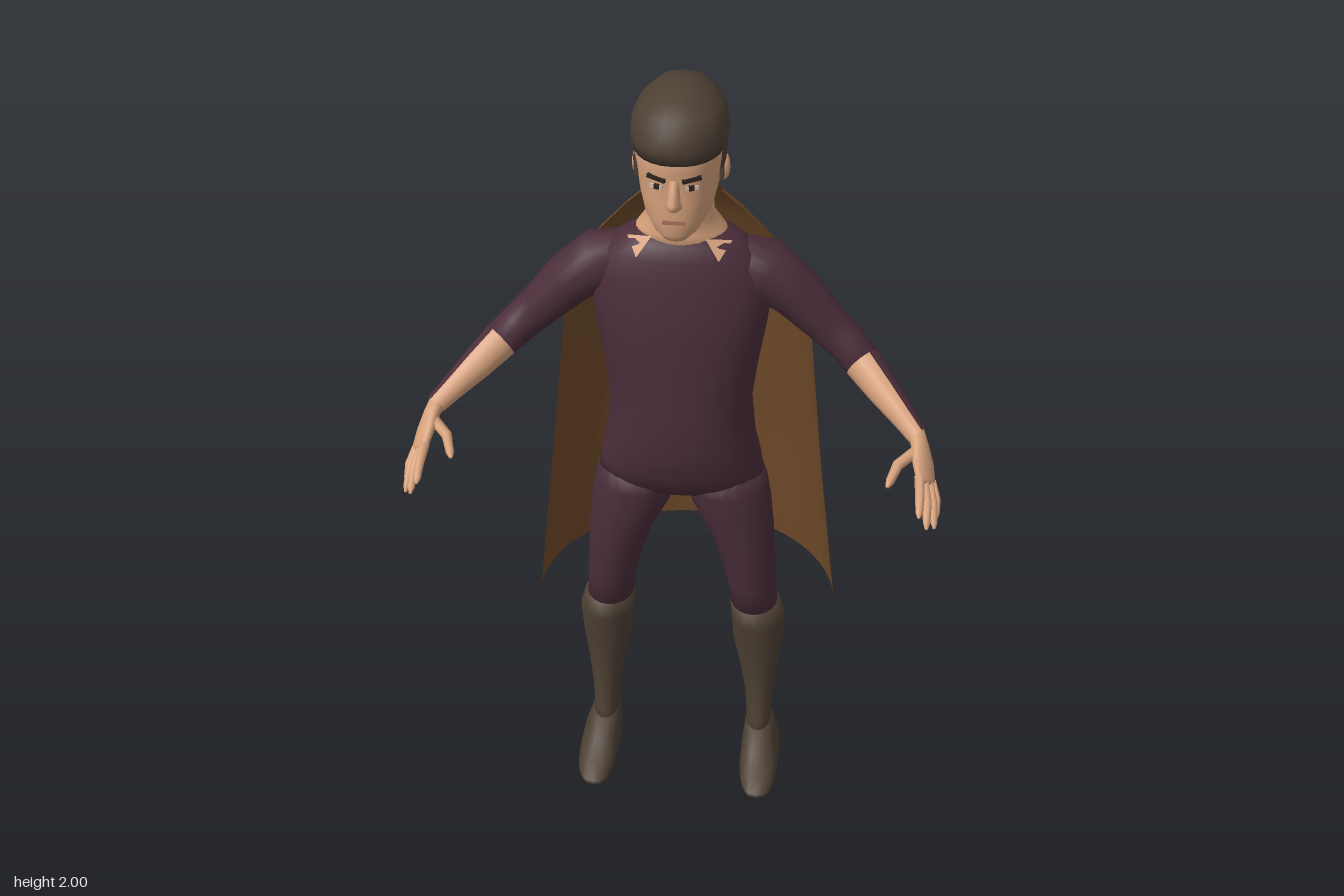
import * as THREE from 'three';

const mat = (name, color, side = THREE.FrontSide) => {
  const m = new THREE.MeshStandardMaterial({ color, side });
  m.name = name;
  return m;
};

const V = (x, y, z) => new THREE.Vector3(x, y, z);
const spow = (v, e) => Math.sign(v) * Math.pow(Math.abs(v), e);

// Skin a list of rings (each a list of points) into one smooth surface.
function loft(rings, { closed = true } = {}) {
  const n = rings[0].length, pos = [], idx = [];
  rings.forEach(r => r.forEach(p => pos.push(p.x, p.y, p.z)));
  for (let i = 0; i < rings.length - 1; i++) {
    for (let j = 0; j < (closed ? n : n - 1); j++) {
      const k = (j + 1) % n, a = i * n + j, b = a + n, c = i * n + k, d = c + n;
      idx.push(a, b, c, b, d, c);
    }
  }
  if (closed) [0, rings.length - 1].forEach(i => {
    const m = rings[i].reduce((s, p) => s.add(p), V(0, 0, 0)).divideScalar(n);
    const at = pos.length / 3;
    pos.push(m.x, m.y, m.z);
    for (let j = 0; j < n; j++) {
      const a = i * n + j, c = i * n + (j + 1) % n;
      if (i === 0) idx.push(at, a, c); else idx.push(at, c, a);
    }
  });
  const g = new THREE.BufferGeometry();
  g.setAttribute('position', new THREE.Float32BufferAttribute(pos, 3));
  g.setIndex(idx);
  g.computeVertexNormals();
  return g;
}

// Level rings from rows [y, centreX, halfWidth, centreZ, frontZ, backZ], listed upward.
function levelRings(rows, { n = 2, sides = 28, t0 = 0, t1 = Math.PI * 2, closed = true } = {}) {
  return rows.map(([y, cx, rx, cz, f, b]) => Array.from({ length: closed ? sides : sides + 1 }, (_, j) => {
    const t = t0 + (t1 - t0) * j / sides, s = spow(Math.sin(t), 2 / n);
    return V(cx + rx * spow(Math.cos(t), 2 / n), y, cz + s * (s > 0 ? f - cz : cz - b));
  }));
}
const levels = (rows, o = {}) => loft(levelRings(rows, o), o);

// Rings across a path of rows [x, y, z, radius along ref, radius across].
function pathRings(rows, ref, { sides = 16, t0 = 0, t1 = Math.PI * 2, closed = true } = {}) {
  const c = rows.map(r => V(r[0], r[1], r[2]));
  return rows.map((r, i) => {
    const T = c[Math.min(i + 1, c.length - 1)].clone().sub(c[Math.max(i - 1, 0)]).normalize();
    const u = ref.clone().addScaledVector(T, -ref.dot(T)).normalize();
    const v = u.clone().cross(T);
    return Array.from({ length: closed ? sides : sides + 1 }, (_, j) => {
      const t = t0 + (t1 - t0) * j / sides;
      return c[i].clone().addScaledVector(u, r[3] * Math.cos(t)).addScaledVector(v, (r[4] ?? r[3]) * Math.sin(t));
    });
  });
}

// Copy a geometry to the other side of x = 0 and restore its winding.
function mirror(g) {
  const m = g.clone().scale(-1, 1, 1), ix = m.index.array;
  for (let i = 0; i < ix.length; i += 3) [ix[i], ix[i + 1]] = [ix[i + 1], ix[i]];
  m.computeVertexNormals();
  return m;
}

// Front surface depth of a set of level rows at x, y.
function frontZ(rows, n, x, y) {
  const i = Math.max(0, Math.min(rows.length - 2, rows.findIndex(r => r[0] > y) - 1));
  const k = (y - rows[i][0]) / (rows[i + 1][0] - rows[i][0]);
  const [, , rx, cz, f] = rows[i].map((v, q) => v + (rows[i + 1][q] - v) * k);
  return cz + (f - cz) * Math.pow(Math.max(0, 1 - Math.pow(Math.abs(x) / rx, n)), 1 / n);
}

export function createModel() {
  const model = new THREE.Group();
  model.name = 'cloakedFigure';
  const skin = mat('skin', 0xd6a17c), suit = mat('plumSuit', 0x4a2d39), leather = mat('darkBrown', 0x4d4034);
  const cloth = mat('capeBrown', 0x6f4a29, THREE.DoubleSide);
  const dark = mat('darkFeatures', 0x2e231e), white = mat('eyeWhite', 0xcbb9a8), lip = mat('lip', 0xa86f58);
  const add = (name, g, m) => {
    const mesh = new THREE.Mesh(g, m);
    mesh.name = name;
    model.add(mesh);
  };
  const pair = (name, g, m) => { add('left' + name, g, m); add('right' + name, mirror(g), m); };

  // Torso
  const torso = [
    [0.915, 0, 0.06, 0, 0.04, -0.07], [0.935, 0, 0.15, 0, 0.075, -0.1], [0.97, 0, 0.205, 0, 0.105, -0.11],
    [1.02, 0, 0.198, 0, 0.13, -0.1], [1.1, 0, 0.18, 0, 0.15, -0.075], [1.2, 0, 0.17, 0, 0.146, -0.06],
    [1.3, 0, 0.182, 0, 0.14, -0.07], [1.4, 0, 0.198, 0, 0.136, -0.082], [1.48, 0, 0.208, 0, 0.124, -0.088],
    [1.55, 0, 0.205, 0, 0.108, -0.088], [1.6, 0, 0.178, 0, 0.096, -0.083], [1.632, 0, 0.135, 0, 0.082, -0.072],
    [1.657, 0, 0.085, 0, 0.06, -0.055]];
  add('torso', levels(torso, { n: 2.2 }), suit);

  // Legs, boots and feet
  pair('Leg', levels([
    [0.53, 0.19, 0.061, -0.018, 0.053, -0.088], [0.62, 0.182, 0.064, -0.01, 0.066, -0.09],
    [0.7, 0.17, 0.071, -0.008, 0.08, -0.095], [0.8, 0.15, 0.084, -0.005, 0.089, -0.102],
    [0.88, 0.126, 0.1, -0.005, 0.095, -0.11], [0.94, 0.112, 0.104, -0.005, 0.096, -0.112],
    [1.0, 0.1, 0.098, 0, 0.09, -0.1]], { sides: 20 }), suit);
  pair('Boot', levels([
    [0.07, 0.213, 0.036, -0.03, 0.05, -0.082], [0.12, 0.212, 0.034, -0.03, 0.03, -0.077],
    [0.2, 0.211, 0.039, -0.034, 0.02, -0.086], [0.3, 0.207, 0.052, -0.036, 0.021, -0.095],
    [0.4, 0.202, 0.067, -0.032, 0.035, -0.1], [0.48, 0.201, 0.071, -0.025, 0.05, -0.1],
    [0.54, 0.191, 0.065, -0.018, 0.056, -0.092]], { sides: 20 }), leather);
  pair('Foot', levels([
    [0, 0.223, 0.05, 0.04, 0.196, -0.088], [0.02, 0.223, 0.053, 0.04, 0.2, -0.095],
    [0.04, 0.221, 0.05, 0.02, 0.155, -0.095], [0.065, 0.217, 0.042, -0.01, 0.09, -0.088],
    [0.1, 0.213, 0.035, -0.03, 0.04, -0.078]], { n: 2.7, sides: 24 }), leather);

  // Arms: full sleeve to the elbow, then bare on the inside of the forearm
  const arm = [
    [0.11, 1.56, 0, 0.068], [0.19, 1.543, -0.005, 0.073], [0.26, 1.49, -0.006, 0.063], [0.33, 1.415, -0.006, 0.052],
    [0.385, 1.362, 0, 0.047], [0.425, 1.333, 0.035, 0.045], [0.475, 1.295, 0.085, 0.039],
    [0.525, 1.256, 0.132, 0.03], [0.56, 1.23, 0.168, 0.025]];
  const inner = V(-1, -0.2, 1.2), H = Math.PI / 2;
  pair('Sleeve', loft(pathRings(arm, inner).slice(0, 6)), suit);
  const half = (t0, t1) => loft(pathRings(arm, inner, { sides: 10, t0, t1, closed: false }).slice(5), { closed: false });
  pair('ForearmSleeve', half(H, 3 * H), suit);
  pair('Forearm', half(-H, H), skin);

  // Hands
  const across = V(-0.55, 0.6, 0.58);
  pair('Palm', loft(pathRings([
    [0.552, 1.238, 0.158, 0.022, 0.021], [0.565, 1.218, 0.185, 0.027, 0.018],
    [0.575, 1.19, 0.22, 0.039, 0.017], [0.583, 1.165, 0.25, 0.037, 0.014],
    [0.585, 1.158, 0.258, 0.028, 0.008]], across)), skin);
  const finger = (a, b, c, r) => loft(pathRings([
    [...a, r], [...b, r * 0.95], [...b.map((v, i) => v + (c[i] - v) * 0.75), r * 0.75], [...c, r * 0.3]], across, { sides: 8 }));
  [['IndexFinger', [0.567, 1.183, 0.262], [0.57, 1.165, 0.31], [0.57, 1.138, 0.355], 0.0115],
    ['MiddleFinger', [0.578, 1.17, 0.25], [0.588, 1.14, 0.298], [0.59, 1.1, 0.346], 0.0115],
    ['RingFinger', [0.59, 1.158, 0.242], [0.603, 1.125, 0.28], [0.609, 1.083, 0.32], 0.011],
    ['LittleFinger', [0.599, 1.149, 0.23], [0.612, 1.12, 0.26], [0.614, 1.088, 0.289], 0.0095],
    ['Thumb', [0.56, 1.212, 0.2], [0.517, 1.203, 0.25], [0.496, 1.183, 0.308], 0.0135]]
    .forEach(([name, a, b, c, r]) => pair(name, finger(a, b, c, r), skin));

  // Neck and the bare points of the neckline
  add('neck', levels([
    [1.615, 0, 0.12, 0, 0.082, -0.06], [1.655, 0, 0.1, 0, 0.073, -0.06], [1.69, 0, 0.075, 0.005, 0.078, -0.06],
    [1.78, 0, 0.068, 0.005, 0.08, -0.062]]), skin);
  const point = new THREE.BufferGeometry().setFromPoints(
    [[0.06, 1.65], [0.092, 1.608], [0.118, 1.637]].map(([x, y]) => V(x, y, frontZ(torso, 2.2, x, y) + 0.009)));
  point.setIndex([0, 1, 2]);
  point.computeVertexNormals();
  pair('NecklinePoint', point, skin);

  // Head
  const head = [
    [1.683, 0, 0.03, 0.1, 0.138, 0.06], [1.7, 0, 0.052, 0.07, 0.149, 0.02], [1.73, 0, 0.074, 0.045, 0.15, -0.03],
    [1.78, 0, 0.086, 0.035, 0.152, -0.06], [1.82, 0, 0.091, 0.03, 0.149, -0.08], [1.85, 0, 0.095, 0.03, 0.156, -0.09],
    [1.9, 0, 0.096, 0.03, 0.155, -0.09], [1.95, 0, 0.08, 0.03, 0.12, -0.08]];
  add('head', levels(head, { n: 2.3 }), skin);
  add('nose', levels([
    [1.763, 0, 0.012, 0.14, 0.158, 0.13], [1.772, 0, 0.02, 0.14, 0.176, 0.13],
    [1.785, 0, 0.016, 0.14, 0.174, 0.13], [1.835, 0, 0.011, 0.14, 0.157, 0.13]], { sides: 12 }), skin);
  pair('Ear', new THREE.SphereGeometry(1, 12, 8).scale(0.012, 0.031, 0.019).translate(0.096, 1.805, 0.012), skin);

  // Face details as thin plates
  const plate = (x, y, w, h, tilt, lift = 0) => new THREE.BoxGeometry(w, h, 0.007)
    .rotateZ(tilt).rotateY(x * 9).translate(x, y, frontZ(head, 2.3, x, y) + lift);
  pair('Eyebrow', plate(0.038, 1.838, 0.042, 0.009, 0.15, 0.001), dark);
  pair('Eye', plate(0.038, 1.816, 0.028, 0.009, 0), white);
  pair('Iris', plate(0.037, 1.817, 0.012, 0.011, 0, 0.002), dark);
  add('mouth', plate(0, 1.735, 0.05, 0.008, 0), lip);

  // Hair: cap, sides over the ears, and back of the neck
  add('hairCap', levels([
    [1.872, 0, 0.1, 0.03, 0.16, -0.1], [1.9, 0, 0.106, 0.03, 0.167, -0.105], [1.935, 0, 0.102, 0.025, 0.163, -0.105],
    [1.962, 0, 0.087, 0.02, 0.14, -0.096], [1.985, 0, 0.06, 0.01, 0.095, -0.075], [1.997, 0, 0.03, 0.005, 0.05, -0.035],
    [2, 0, 0.01, 0.005, 0.02, -0.01]], { n: 2.2 }), leather);
  const shell = (rows, a) => levels(rows, { n: 2.2, closed: false, t0: Math.PI - a, t1: Math.PI * 2 + a });
  add('hairSides', shell([
    [1.83, 0, 0.09, 0.03, 0.14, -0.09], [1.832, 0, 0.1, 0.03, 0.155, -0.102], [1.885, 0, 0.104, 0.03, 0.16, -0.104]], 0.4), leather);
  add('hairBack', shell([
    [1.755, 0, 0.05, -0.012, 0, -0.045], [1.757, 0, 0.075, -0.012, 0, -0.066], [1.785, 0, 0.09, -0.01, 0, -0.085],
    [1.84, 0, 0.1, -0.005, 0, -0.1], [1.885, 0, 0.104, 0, 0.02, -0.105]], 0), leather);
  pair('Sideburn', new THREE.BoxGeometry(0.009, 0.05, 0.026).translate(0.093, 1.822, 0.05), leather);

  // Cape: open half rings hanging from the shoulders
  add('cape', levels([
    [0.54, 0.012, 0.387, -0.01, 0, -0.36], [0.85, 0.008, 0.35, -0.033, 0, -0.335], [0.95, 0.007, 0.338, -0.036, 0, -0.334],
    [1.34, 0.006, 0.296, -0.055, 0, -0.28], [1.46, 0.004, 0.262, -0.062, 0, -0.243], [1.58, 0, 0.205, -0.066, 0, -0.2],
    [1.66, 0, 0.135, -0.06, 0, -0.146], [1.71, 0, 0.085, -0.05, 0, -0.11]],
  { closed: false, t0: Math.PI, t1: Math.PI * 2, sides: 32 }), cloth);

  return model;
}
